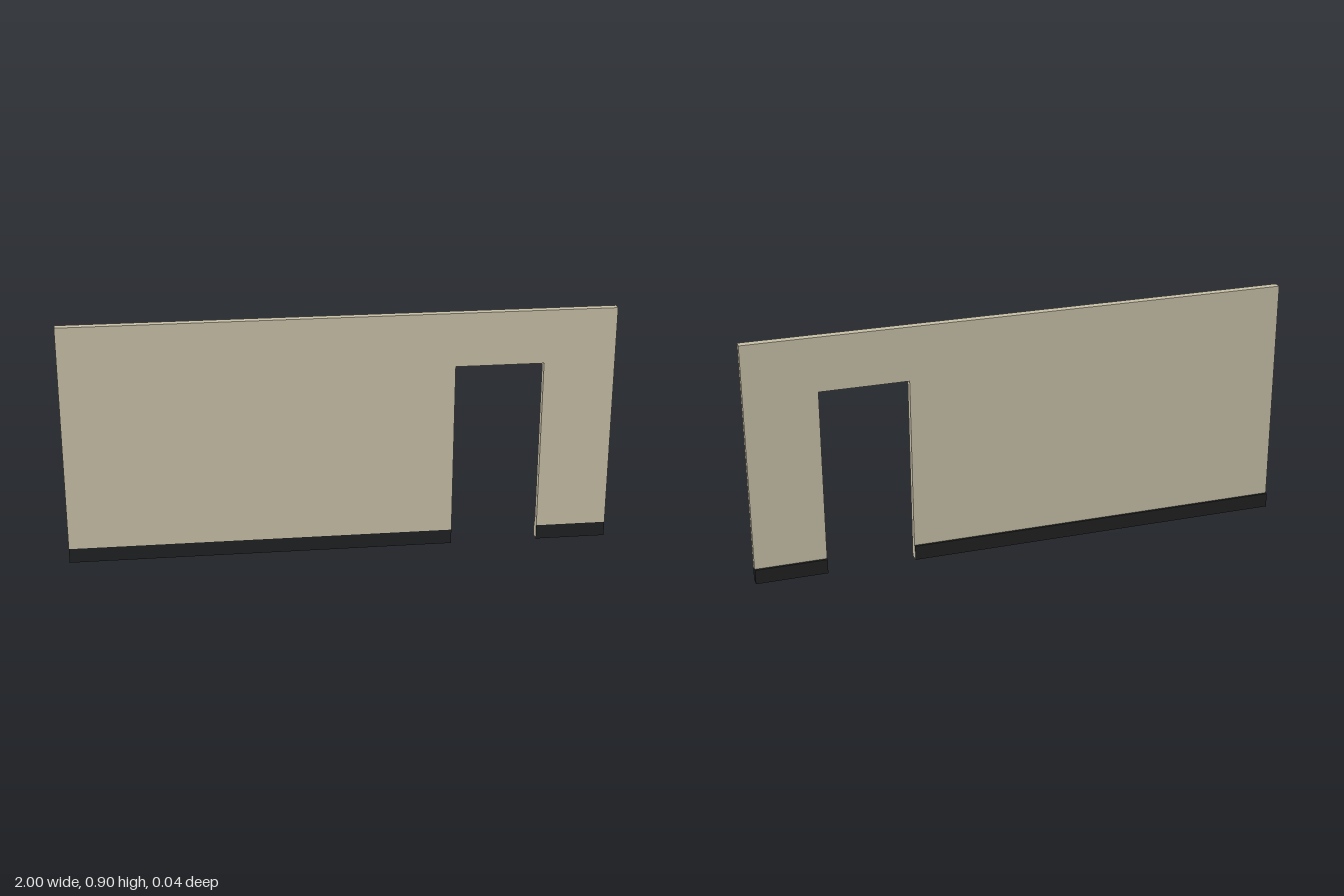
import * as THREE from 'three';

const HEIGHT = 0.9, FRONT = 0.019, BACK = -0.019, WALL_BACK = -0.01;
const DOOR_LEFT = 0.414, DOOR_RIGHT = 0.738, DOOR_TOP = 0.7;
const SKIRT = 0.055;

export function createModel() {
  const plaster = new THREE.MeshStandardMaterial({ color: 0xc8c0a8 });
  plaster.name = 'beige plaster';
  const dark = new THREE.MeshStandardMaterial({ color: 0x202122 });
  dark.name = 'dark skirting';

  const group = new THREE.Group();
  group.name = 'wallWithDoorway';

  // Wall panel above the skirting, notched for the doorway
  const outline = new THREE.Shape([
    [-1, SKIRT], [DOOR_LEFT, SKIRT], [DOOR_LEFT, DOOR_TOP], [DOOR_RIGHT, DOOR_TOP],
    [DOOR_RIGHT, SKIRT], [1, SKIRT], [1, HEIGHT], [-1, HEIGHT],
  ].map(([x, y]) => new THREE.Vector2(x, y)));
  const wallGeometry = new THREE.ExtrudeGeometry(outline, { depth: FRONT - WALL_BACK, bevelEnabled: false });
  wallGeometry.translate(0, 0, WALL_BACK);
  const wall = new THREE.Mesh(wallGeometry, plaster);
  wall.name = 'wall';
  group.add(wall);

  // Skirting: flush at the front, stepped out at the back, plaster on the door jamb ends
  function addSkirting(name, x0, x1, rightEnd, leftEnd) {
    const geometry = new THREE.BoxGeometry(x1 - x0, SKIRT, FRONT - BACK);
    const mesh = new THREE.Mesh(geometry, [rightEnd, leftEnd, dark, dark, dark, dark]);
    mesh.position.set((x0 + x1) / 2, SKIRT / 2, (FRONT + BACK) / 2);
    mesh.name = name;
    group.add(mesh);
  }
  addSkirting('longSkirting', -1, DOOR_LEFT, plaster, dark);
  addSkirting('shortSkirting', DOOR_RIGHT, 1, dark, plaster);

  return group;
}
